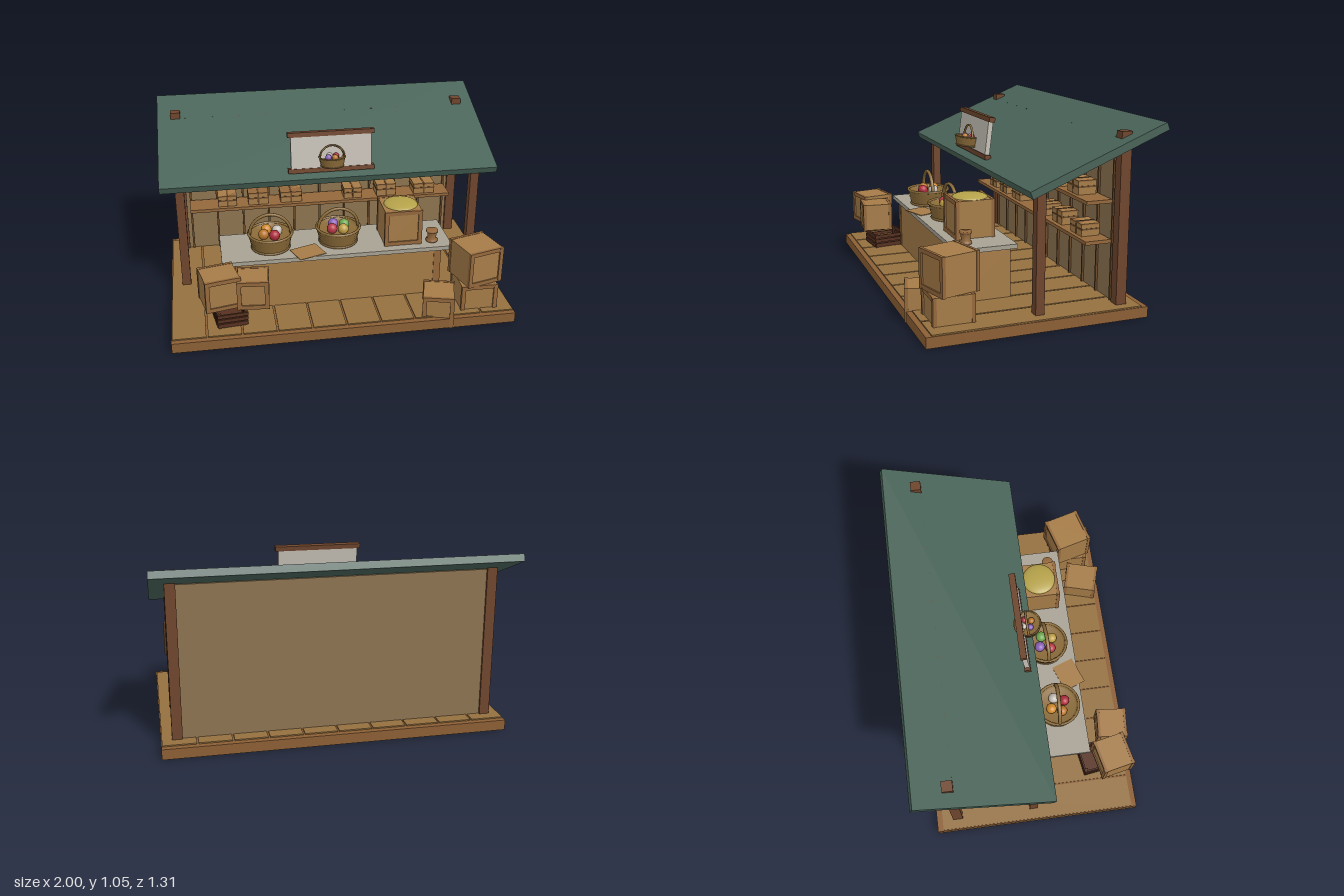
import * as THREE from 'three';

const mats = {};
const mat = (color) => (mats[color] ??= new THREE.MeshStandardMaterial({ color, side: THREE.DoubleSide }));
const C = {
  base: 0x8c5f35, plank: 0x94703f, post: 0x6e452c, wall: 0x8d7350, wood: 0xa67c48, trim: 0x94683c,
  roof: 0x486358, stone: 0xa8a294, board: 0xc6c0b6, wicker: 0x8a6a38, dark: 0x56301f, grain: 0xb5a24a, band: 0x6b4a2a,
};

function mesh(parent, name, geo, color, x = 0, y = 0, z = 0) {
  const m = new THREE.Mesh(geo, mat(color));
  m.name = name;
  m.position.set(x, y, z);
  parent.add(m);
  return m;
}
const box = (parent, name, color, w, h, d, x, y, z) =>
  mesh(parent, name, new THREE.BoxGeometry(w, h, d), color, x, y, z);

// Box given by its lower and upper limits on each axis
const span = (parent, name, color, [x0, x1], [y0, y1], [z0, z1]) =>
  box(parent, name, color, x1 - x0, y1 - y0, z1 - z0, (x0 + x1) / 2, (y0 + y1) / 2, (z0 + z1) / 2);

function group(parent, name, x, y, z, ry = 0) {
  const g = new THREE.Group();
  g.name = name;
  g.position.set(x, y, z);
  g.rotation.y = ry;
  parent.add(g);
  return g;
}

// Wooden crate with a raised frame on front and back; origin at the bottom centre
function crate(parent, name, x, y, z, w, h, d, ry) {
  const g = group(parent, name, x, y, z, ry);
  const t = 0.024;
  box(g, 'crateBody', C.wood, w - 0.006, h - 0.004, d - 0.016, 0, h / 2, 0);
  for (const s of [-1, 1]) {
    const fz = s * (d / 2 - 0.009);
    for (const e of [-1, 1]) {
      box(g, 'crateStile', C.trim, t, h, 0.02, e * (w - t) / 2, h / 2, fz);
      box(g, 'crateRail', C.trim, w - 2 * t, t, 0.016, 0, h / 2 + e * (h - t) / 2, fz);
    }
  }
  return g;
}

// Round wicker basket with hooped handle and coloured balls
function basket(parent, name, x, y, z, colors, scale = 1, ry = 0) {
  const g = group(parent, name, x, y, z, ry);
  g.scale.setScalar(scale);
  const pts = [new THREE.Vector2(0, 0.002), new THREE.Vector2(0.106, 0.002)];
  for (let i = 0; i <= 10; i++) {
    pts.push(new THREE.Vector2(0.106 + 0.002 * i + (i % 2) * 0.004, 0.005 + i * 0.0088));
  }
  pts.push(new THREE.Vector2(0.116, 0.093), new THREE.Vector2(0.108, 0.07), new THREE.Vector2(0, 0.07));
  mesh(g, 'basketBowl', new THREE.LatheGeometry(pts, 28), C.wicker);
  for (const [r, h] of [[0.126, 0.094], [0.108, 0.008]]) {
    mesh(g, 'basketRim', new THREE.TorusGeometry(r, 0.008, 8, 28), C.wicker, 0, h, 0).rotation.x = Math.PI / 2;
  }
  const handle = mesh(g, 'basketHandle', new THREE.TorusGeometry(0.119, 0.009, 8, 24, Math.PI), C.wicker, 0, 0.088, 0);
  handle.scale.z = 1.3;
  colors.forEach((c, i) => {
    const a = (i / colors.length) * Math.PI * 2 + 0.5;
    mesh(g, 'ball', new THREE.SphereGeometry(0.031, 16, 12), c,
      0.046 * Math.cos(a), 0.094, -0.046 * Math.sin(a));
  });
  return g;
}

// Small parcel tied with two bands
function parcel(parent, x, y, w, h, d) {
  const g = group(parent, 'parcel', x, y, -0.365);
  box(g, 'parcelBox', C.wood, w, h, d, 0, h / 2, 0);
  box(g, 'parcelBand', C.band, w + 0.005, 0.009, d + 0.005, 0, h * 0.55, 0);
  box(g, 'parcelBand', C.band, 0.01, h + 0.005, d + 0.005, 0, h / 2, 0);
  box(g, 'parcelLid', C.trim, w + 0.004, 0.008, d + 0.004, 0, h - 0.004, 0);
}

export function createModel() {
  const root = new THREE.Group();
  root.name = 'marketStall';

  // Platform and floor planks
  span(root, 'platform', C.base, [-0.98, 0.98], [0, 0.06], [-0.595, 0.642]);
  for (let i = 0; i < 10; i++) {
    box(root, 'floorPlank', C.plank, 0.186, 0.008, 1.17, -0.882 + i * 0.196, 0.063, 0.025);
  }

  // Posts, mirrored left and right
  for (const s of [-1, 1]) {
    box(root, 'frontPost', C.post, 0.052, 0.685, 0.05, s * 0.888, 0.4025, 0.006);
    box(root, 'backPost', C.post, 0.058, 0.945, 0.06, s * 0.89, 0.5325, -0.465);
  }
  span(root, 'frontBeam', C.post, [-0.89, 0.89], [0.695, 0.745], [-0.012, 0.024]);

  // Back wall with battens whose tips just pass the roof
  span(root, 'backWall', C.wall, [-0.865, 0.865], [0.062, 0.935], [-0.482, -0.45]);
  for (let i = 0; i < 11; i++) {
    box(root, 'wallBatten', C.band, 0.012, 0.905, 0.012, -0.835 + i * 0.167, 0.5165, -0.444);
  }

  // Sloping roof
  const roof = box(root, 'roof', C.roof, 2, 0.042, 0.815, 0, 0.881, -0.279);
  roof.rotation.x = 0.385;

  // Shelves with parcels
  const shelves = [
    [0.61, [-0.66, -0.465, -0.26, 0.18, 0.4, 0.62]],
    [0.39, [-0.605, -0.41, -0.2, 0.2, 0.42, 0.67]],
  ];
  shelves.forEach(([y, xs], row) => {
    span(root, 'shelf', C.trim, [-0.84, 0.835], [y, y + 0.02], [-0.438, -0.287]);
    xs.forEach((x, i) =>
      parcel(root, x, y + 0.02, 0.115 + 0.01 * (i % 3), 0.07 + 0.01 * ((i + row) % 3 === 2), 0.1 + 0.008 * (i % 2)));
  });
  parcel(root, -0.26, 0.63, 0.1, 0.09, 0.1);

  // Counter
  span(root, 'counterBody', C.wood, [-0.6, 0.6], [0.062, 0.36], [0.045, 0.35]);
  for (const s of [-1, 1]) box(root, 'counterCorner', C.trim, 0.042, 0.294, 0.012, s * 0.581, 0.212, 0.348);
  span(root, 'counterTop', C.stone, [-0.675, 0.665], [0.36, 0.385], [0.03, 0.374]);

  // Goods on the counter
  basket(root, 'leftBasket', -0.385, 0.385, 0.215, [0xc4bdb5, 0xd08a2c, 0xb8742a, 0xb02c3c], 1, -0.04);
  basket(root, 'rightBasket', 0.015, 0.385, 0.2, [0x6fa850, 0x8a62b8, 0xb83a48, 0xbfa046], 1, 0.04);
  box(root, 'paperSheet', C.wood, 0.165, 0.004, 0.135, -0.18, 0.388, 0.317).rotation.y = 0.35;
  crate(root, 'grainCrate', 0.38, 0.385, 0.208, 0.222, 0.216, 0.225, 0);
  const grain = mesh(root, 'grainHeap', new THREE.SphereGeometry(0.1, 24, 8, 0, Math.PI * 2, 0, Math.PI / 2), C.grain, 0.385, 0.597, 0.205);
  grain.scale.y = 0.25;
  const cup = [[0, 0], [0.035, 0], [0.035, 0.012], [0.026, 0.018], [0.026, 0.054], [0.035, 0.06], [0.035, 0.072], [0, 0.072]];
  mesh(root, 'spool', new THREE.LatheGeometry(cup.map(([r, y]) => new THREE.Vector2(r, y)), 20), C.trim, 0.56, 0.385, 0.29);

  // Stacked crates on both sides
  crate(root, 'lowerCrate', 0.78, 0, 0.463, 0.215, 0.22, 0.225, 0);
  crate(root, 'upperCrate', 0.78, 0.22, 0.455, 0.222, 0.217, 0.225, 0.27);
  crate(root, 'frontCrate', 0.55, 0, 0.525, 0.18, 0.19, 0.205, -0.27);
  crate(root, 'sideCrate', -0.7, 0.222, 0.51, 0.2, 0.186, 0.19, 0.21);
  crate(root, 'smallCrate', -0.515, 0.222, 0.53, 0.175, 0.168, 0.178, -0.09);

  // Dark slatted tray on the floor
  const tray = group(root, 'slattedTray', -0.652, 0.068, 0.44, 0.15);
  tray.rotation.z = -0.03;
  box(tray, 'trayFloor', C.dark, 0.16, 0.01, 0.2, 0, 0.008, 0);
  for (const y of [0.02, 0.048, 0.076]) {
    for (const s of [-1, 1]) {
      box(tray, 'traySlat', C.dark, 0.17, 0.021, 0.01, 0, y, s * 0.1);
      box(tray, 'traySlat', C.dark, 0.01, 0.021, 0.2, s * 0.082, y, 0);
    }
  }
  for (const sx of [-1, 1]) for (const sz of [-1, 1]) {
    box(tray, 'trayCorner', C.dark, 0.016, 0.088, 0.016, sx * 0.072, 0.044, sz * 0.09);
  }

  // Tilted sign board with rails and a small basket
  const sign = group(root, 'signBoard', 0, 0.89, 0.035);
  sign.rotation.x = -0.12;
  box(sign, 'signPanel', C.board, 0.475, 0.21, 0.028, 0, 0, 0);
  for (const s of [-1, 1]) box(sign, 'signRail', C.post, 0.51, 0.027, 0.036, 0, s * 0.108, 0);
  basket(sign, 'signBasket', 0, -0.082, 0.04, [0xb83a48, 0xc4bdb5, 0x8a62b8, 0xb8742a], 0.6);

  return root;
}
